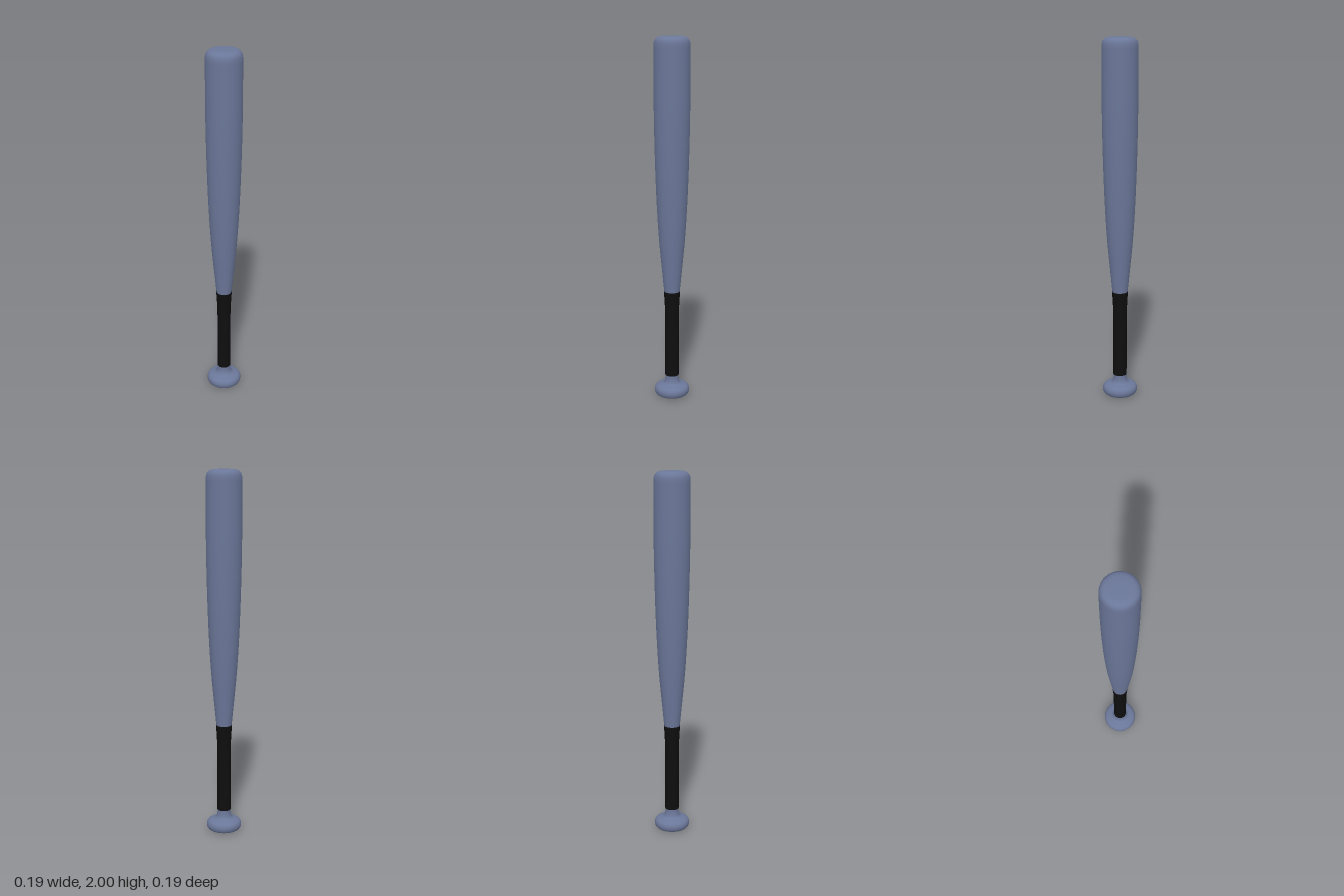
import * as THREE from 'three';

const SEGMENTS = 48;

// Smooth curve through [radius, height] pairs, listed bottom to top
function curve(pairs, divisions) {
  return new THREE.SplineCurve(pairs.map(([r, y]) => new THREE.Vector2(r, y))).getPoints(divisions);
}

export function createModel() {
  const metal = new THREE.MeshStandardMaterial({ color: 0x6b7799 });
  metal.name = 'blueGreyMetal';
  const rubber = new THREE.MeshStandardMaterial({ color: 0x0e0e0e });
  rubber.name = 'blackGrip';

  const bat = new THREE.Group();
  bat.name = 'bat';

  function turned(name, points, material) {
    const mesh = new THREE.Mesh(new THREE.LatheGeometry(points, SEGMENTS), material);
    mesh.name = name;
    bat.add(mesh);
  }

  // Rounded knob flowing up into the narrow neck
  turned('knob', [
    new THREE.Vector2(0, 0),
    new THREE.Vector2(0.04, 0),
    ...curve([
      [0.072, 0.001], [0.088, 0.008], [0.096, 0.022], [0.097, 0.038], [0.09, 0.053],
      [0.074, 0.062], [0.053, 0.069], [0.043, 0.08], [0.038, 0.1], [0.037, 0.125],
    ], 36),
  ], metal);

  // Grip sleeve, slightly proud of the handle, with closed rims
  turned('grip', [
    new THREE.Vector2(0.036, 0.118),
    new THREE.Vector2(0.0385, 0.118),
    ...curve([[0.0385, 0.12], [0.0385, 0.3], [0.0385, 0.45], [0.04, 0.52], [0.045, 0.61]], 24),
    new THREE.Vector2(0.043, 0.611),
  ], rubber);

  // Tapered barrel with a rounded end
  turned('barrel', [
    ...curve([
      [0.043, 0.605], [0.054, 0.72], [0.069, 0.88], [0.079, 1.03], [0.087, 1.2],
      [0.093, 1.4], [0.0965, 1.6], [0.097, 1.75], [0.097, 1.93],
    ], 40),
    ...curve([
      [0.097, 1.945], [0.095, 1.966], [0.089, 1.982], [0.077, 1.993], [0.06, 1.998], [0.035, 2],
    ], 20),
    new THREE.Vector2(0, 2),
  ], metal);

  return bat;
}
